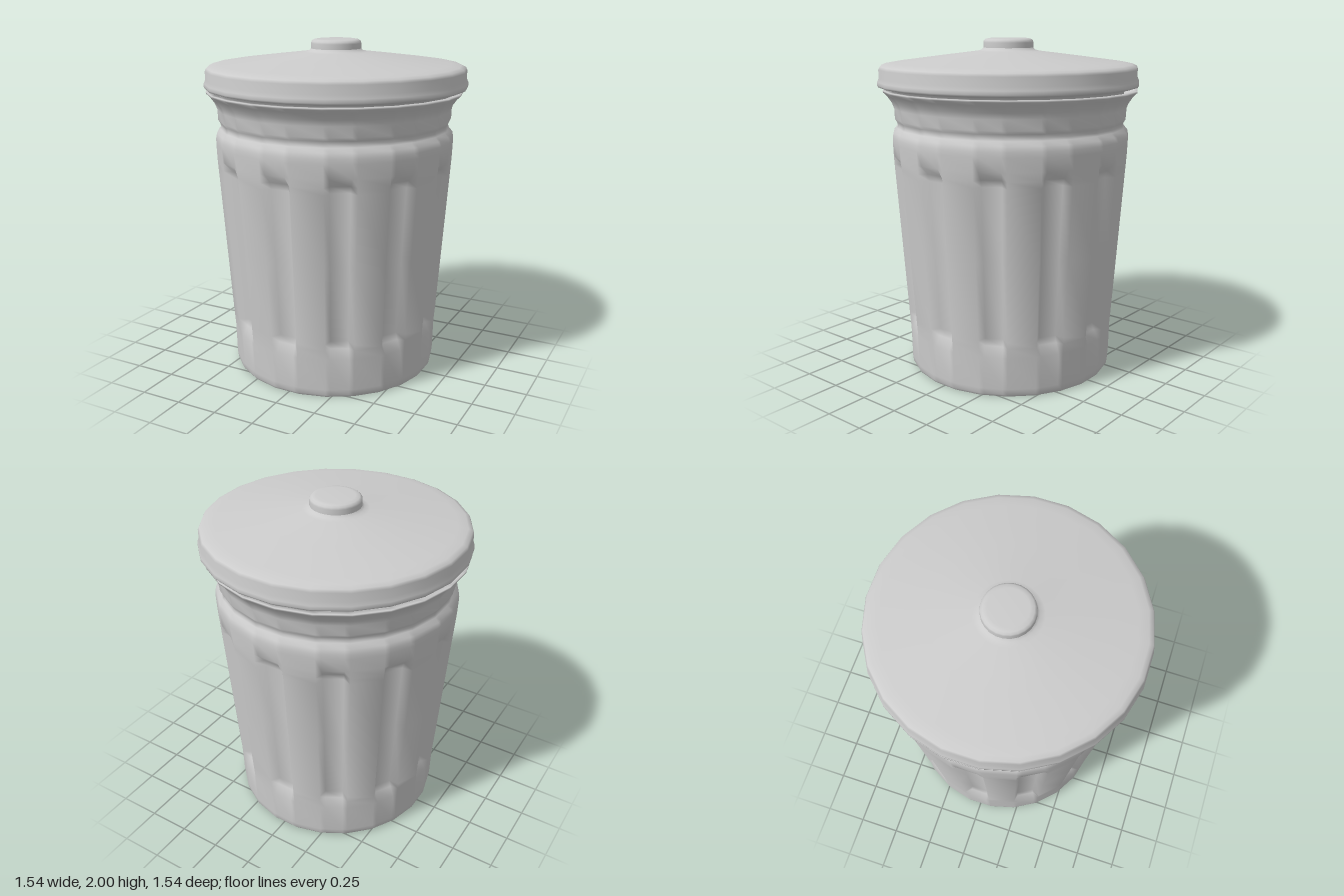
import * as THREE from 'three';

const material = new THREE.MeshStandardMaterial({ color: 0xcccccc, side: THREE.DoubleSide });
const RIBS = 12;
const DEG = Math.PI / 180;

// Angles around the axis; every groove has a floor edge and a rib edge on both sides
const steps = [-7.5, -5, 5, 7.5];
const bodyAngles = [];
for (let i = 0; i < RIBS; i++) for (const s of steps) bodyAngles.push({ a: (i * 30 + s) * DEG, floor: Math.abs(s) < 6 });
const lidAngles = Array.from({ length: 24 }, (_, i) => ({ a: (i * 15 + 7.5) * DEG, floor: false }));

// Smooth skin through rings of [radius, height, groove depth]
function loft(rings, angles) {
  const n = angles.length, pos = [], index = [];
  for (const [r, y, depth = 0] of rings) {
    for (const { a, floor } of angles) {
      // points between the rib edges stay on the flat facet of a 24-sided ring
      const rr = floor ? r * Math.cos(7.5 * DEG) / Math.cos(5 * DEG) - depth : r;
      pos.push(rr * Math.sin(a), y, rr * Math.cos(a));
    }
  }
  for (let j = 0; j < rings.length - 1; j++) {
    for (let i = 0; i < n; i++) {
      const a = j * n + i, b = j * n + (i + 1) % n;
      index.push(a, b, a + n, b, b + n, a + n);
    }
  }
  const g = new THREE.BufferGeometry();
  g.setAttribute('position', new THREE.Float32BufferAttribute(pos, 3));
  g.setIndex(index);
  g.computeVertexNormals();
  return g;
}

function add(parent, name, geometry) {
  const mesh = new THREE.Mesh(geometry, material);
  mesh.name = name;
  parent.add(mesh);
  return mesh;
}

export function createModel() {
  const model = new THREE.Group();
  model.name = 'trashCan';

  // Tapered, grooved can with a pinched neck and a flared rim
  const can = new THREE.Group();
  can.name = 'can';
  can.position.set(-0.013, 0, -0.006);
  model.add(can);
  add(can, 'canBody', loft([
    [0.612, 0], [0.622, 0.015], [0.627, 0.05], [0.632, 0.24],
    [0.637, 0.30, 0.035], [0.640, 0.34, 0.05], [0.672, 0.8, 0.05], [0.702, 1.23, 0.05],
    [0.705, 1.27, 0.04], [0.708, 1.32], [0.711, 1.40], [0.711, 1.43],
    [0.705, 1.46], [0.684, 1.485], [0.678, 1.50], [0.683, 1.52], [0.695, 1.54],
    [0.697, 1.60], [0.710, 1.635], [0.738, 1.675], [0.760, 1.695], [0.760, 1.705],
    [0.735, 1.705], [0.69, 1.64], [0.66, 1.55],
  ], bodyAngles));

  // Flat floor under the can
  const floor = add(can, 'canFloor', new THREE.CircleGeometry(0.612, 24, 7.5 * DEG));
  floor.rotation.x = Math.PI / 2;

  // Lid: turned-down rim, shallow cone and a round knob
  const lid = new THREE.Group();
  lid.name = 'lid';
  model.add(lid);
  add(lid, 'lidShell', loft([
    [0.69, 1.68], [0.70, 1.715], [0.75, 1.72], [0.772, 1.725], [0.778, 1.735], [0.777, 1.755],
    [0.768, 1.775], [0.768, 1.825], [0.760, 1.842], [0.735, 1.853],
    [0.68, 1.862], [0.42, 1.896], [0.19, 1.925], [0.16, 1.932], [0.148, 1.945],
  ], lidAngles));
  add(lid, 'lidKnob', loft([
    [0.148, 1.945], [0.148, 1.975], [0.145, 1.987], [0.133, 1.996], [0.11, 2], [0, 2],
  ], lidAngles));

  return model;
}
